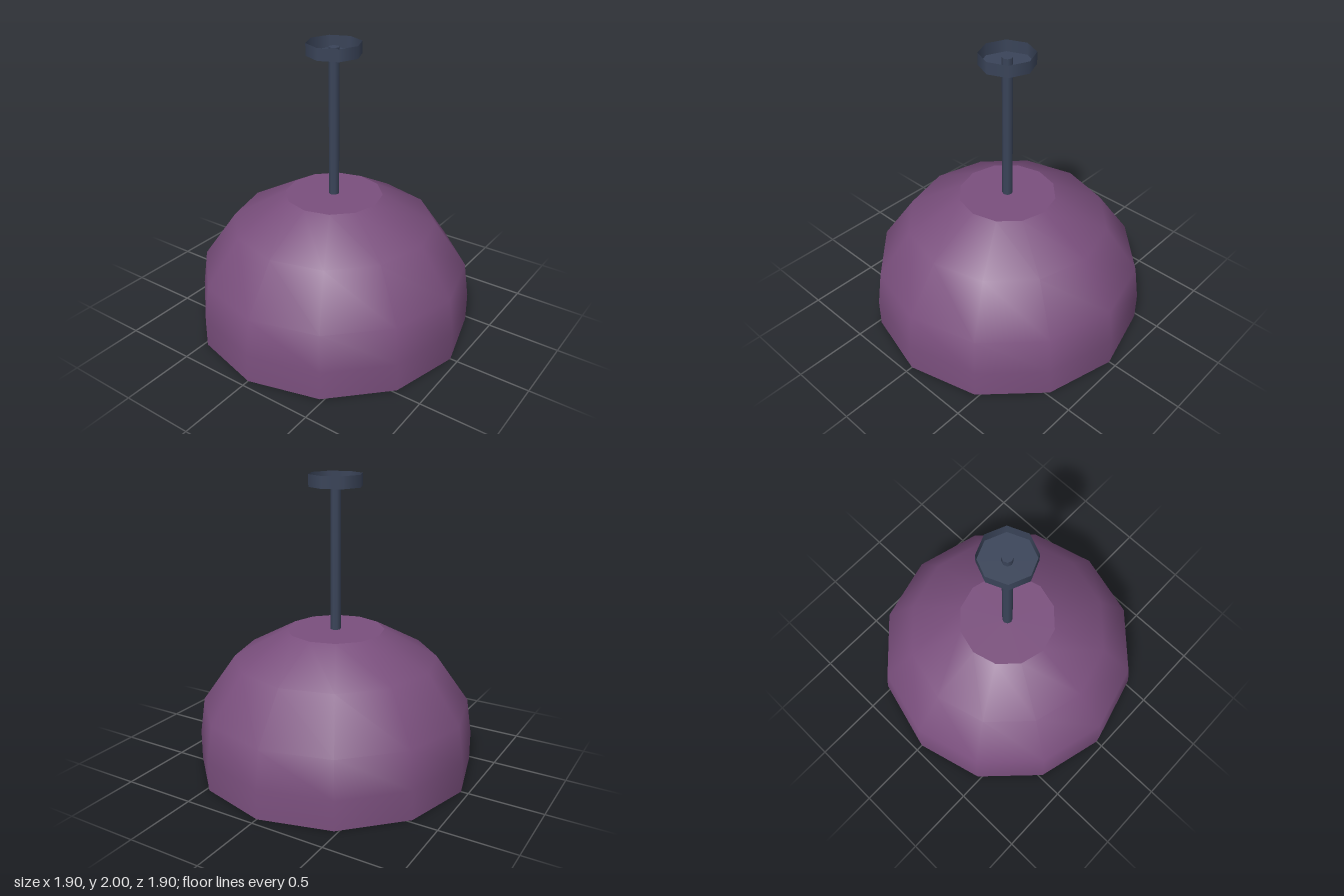
import * as THREE from 'three';

export function createModel() {
  const model = new THREE.Group();
  model.name = 'pendantLamp';

  const material = (name, color, side = THREE.FrontSide) => {
    const m = new THREE.MeshStandardMaterial({ color, side });
    m.name = name;
    return m;
  };
  const purple = material('purple', 0x7a4f7d);
  const slate = material('slate', 0x3a4459, THREE.DoubleSide);
  const cream = material('cream', 0xdad3c7);

  const add = (name, geometry, mat, y = 0) => {
    const mesh = new THREE.Mesh(geometry, mat);
    mesh.name = name;
    mesh.position.y = y;
    model.add(mesh);
    return mesh;
  };
  // Turned surface: a rising profile faces outward, a falling one inward
  const turned = (profile, sides) =>
    new THREE.LatheGeometry(profile.map(([r, y]) => new THREE.Vector2(r, y)), sides);

  // Shade: twelve-sided dome with a flat crown
  const outer = [[0.95, 0], [0.95, 0.2], [0.915, 0.45], [0.69, 0.77], [0.33, 0.965]];
  add('shadeOuter', turned(outer, 12), purple);
  add('shadeCrown', turned([[0.33, 0.965], [0, 0.965]], 12), purple);

  // Lining of the shade and the rim that joins it to the outside
  const inner = [[0, 0.88], [0.3, 0.88], [0.62, 0.7], [0.82, 0.42], [0.855, 0.2], [0.855, 0]];
  add('shadeInner', turned(inner, 12), purple);
  add('shadeRim', turned([[0.855, 0], [0.95, 0]], 12), slate);

  // Flattened light globe inside the shade
  add('bulb', new THREE.SphereGeometry(0.49, 8, 6), cream, 0.46).scale.y = 0.5;

  // Hanging rod, its end standing up inside the canopy
  add('rod', new THREE.CylinderGeometry(0.035, 0.035, 1.32, 8), slate, 1.31);

  // Ceiling canopy: shallow cup open at the top
  add('canopyWall', new THREE.CylinderGeometry(0.18, 0.18, 0.08, 8, 1, true), slate, 1.96);
  add('canopyFloor', turned([[0.18, 1.92], [0, 1.92]], 8), slate);

  return model;
}
